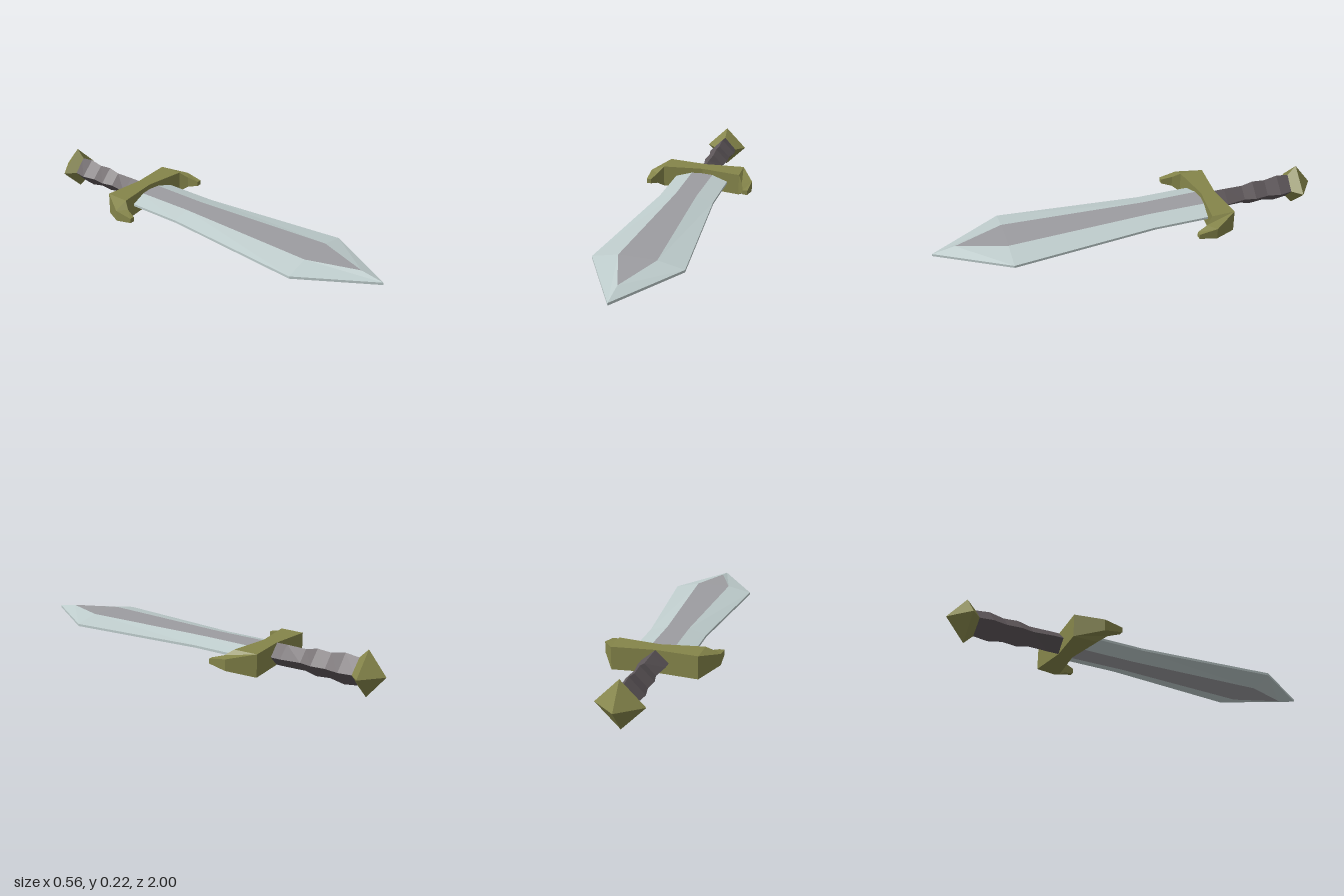
import * as THREE from 'three';

const BRASS = 0x85854a, LEATHER = 0x5e575a, STEEL = 0xbfcdcd, FULLER = 0x9d9da1;

// Skins matching closed rings of [x, y, z] points with flat faces; keep() picks which side strips to build
function loft(name, color, rings, { caps = true, keep = () => true } = {}) {
  const pos = [];
  const tri = (a, b, c) => pos.push(...a, ...b, ...c);
  const n = rings[0].length;
  for (let i = 0; i < rings.length - 1; i++) {
    for (let j = 0; j < n; j++) {
      if (!keep(j)) continue;
      const k = (j + 1) % n;
      tri(rings[i][j], rings[i][k], rings[i + 1][k]);
      tri(rings[i][j], rings[i + 1][k], rings[i + 1][j]);
    }
  }
  if (caps) {
    const first = rings[0], last = rings[rings.length - 1];
    for (let j = 1; j < n - 1; j++) {
      tri(first[0], first[j + 1], first[j]);
      tri(last[0], last[j], last[j + 1]);
    }
  }
  const geometry = new THREE.BufferGeometry();
  geometry.setAttribute('position', new THREE.Float32BufferAttribute(pos, 3));
  geometry.computeVertexNormals();
  const mesh = new THREE.Mesh(geometry, new THREE.MeshStandardMaterial({ color, flatShading: true }));
  mesh.name = name;
  return mesh;
}

const diamond = ([z, rx, ry]) => [[rx, 0, z], [0, ry, z], [-rx, 0, z], [0, -ry, z]];

export function createModel() {
  const sword = new THREE.Group();
  sword.name = 'sword';

  // Blade: eight-point sections, the last one collapsing to the tip
  const edge = 0.006;
  const section = ([zEdge, w, zFlat, f, h]) => [
    [w, edge, zEdge], [f, h, zFlat], [-f, h, zFlat], [-w, edge, zEdge],
    [-w, -edge, zEdge], [-f, -h, zFlat], [f, -h, zFlat], [w, -edge, zEdge],
  ];
  const blade = [
    [-0.4, 0.143, -0.4, 0.058, 0.03],
    [-0.07, 0.143, -0.07, 0.055, 0.03],
    [0.65, 0.215, 0.65, 0.09, 0.033],
    [1, 0, 0.89, 0, 0.026],
  ].map(section);
  const isFlat = j => j === 1 || j === 5;
  sword.add(loft('bladeBevels', STEEL, blade, { keep: j => !isFlat(j) }));
  sword.add(loft('bladeFlats', FULLER, blade, { caps: false, keep: isFlat }));

  // Crossguard: [outer x, outer z, inner x, inner z, half height], mirrored about the centre
  const half = [
    [0, -0.445, 0, -0.372, 0.056],
    [0.207, -0.465, 0.21, -0.343, 0.056],
    [0.282, -0.343, 0.236, -0.305, 0.028],
    [0.278, -0.25, 0.253, -0.25, 0.012],
  ];
  const guardRing = s => ([xo, zo, xi, zi, h]) =>
    [[s * xo, -h, zo], [s * xo, h, zo], [s * xi, h, zi], [s * xi, -h, zi]];
  const guard = [...half.slice(1).reverse().map(guardRing(-1)), ...half.map(guardRing(1))];
  sword.add(loft('crossguard', BRASS, guard));

  // Grip: diamond section with swellings
  sword.add(loft('grip', LEATHER, [
    [-0.88, 0.061, 0.065],
    [-0.8, 0.073, 0.075],
    [-0.73, 0.059, 0.061],
    [-0.66, 0.066, 0.067],
    [-0.6, 0.053, 0.053],
    [-0.5, 0.066, 0.055],
    [-0.43, 0.066, 0.055],
  ].map(diamond)));

  // Pommel: pointed diamond cap
  sword.add(loft('pommel', BRASS, [
    [-1, 0, 0],
    [-0.91, 0.112, 0.112],
    [-0.865, 0.064, 0.064],
  ].map(diamond)));

  for (const part of sword.children) part.position.y = 0.114;
  return sword;
}
